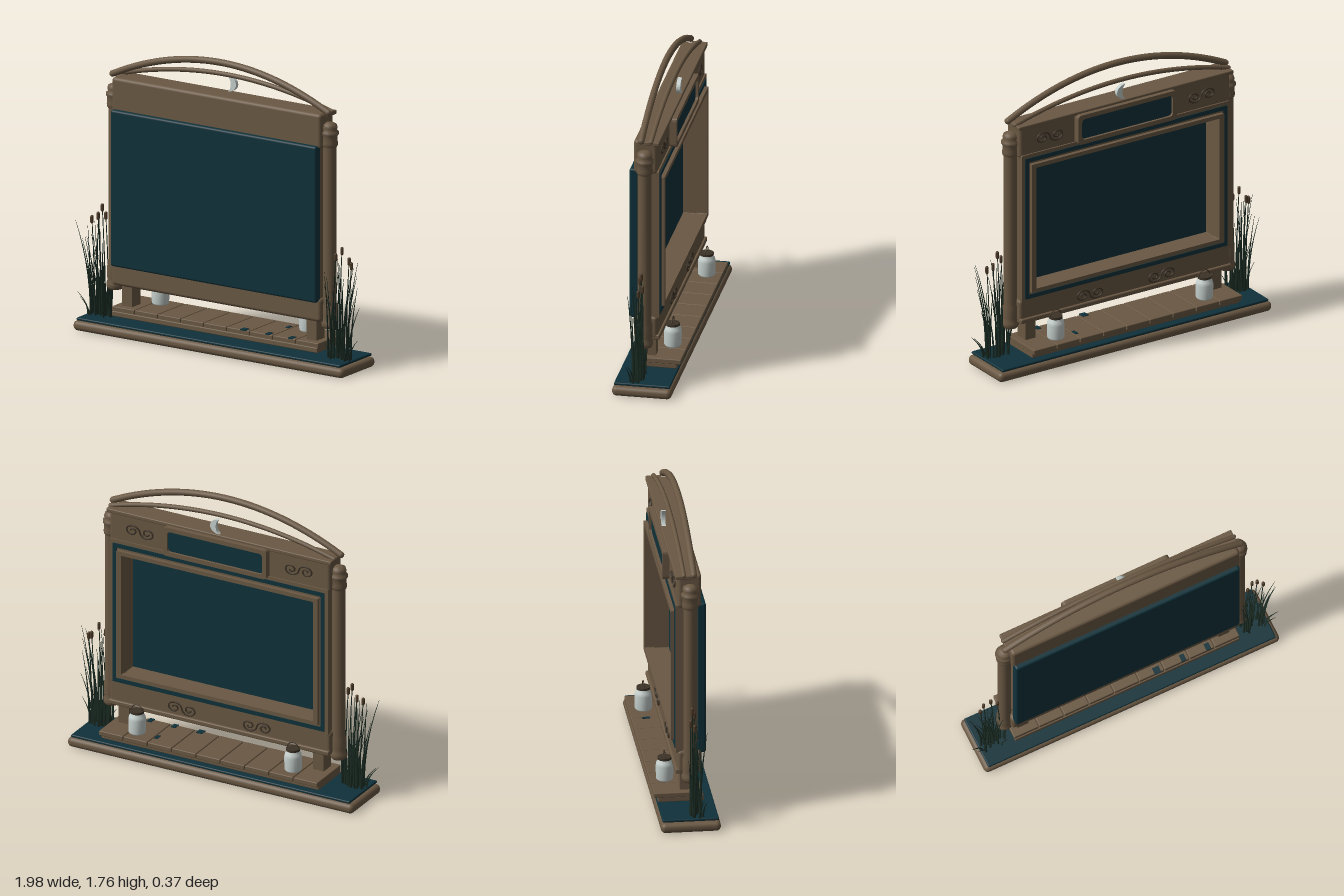
import * as THREE from 'three';
import { RoundedBoxGeometry } from 'three/addons/geometries/RoundedBoxGeometry.js';

const material = (name, color, side = THREE.FrontSide) => {
  const m = new THREE.MeshStandardMaterial({ color, side });
  m.name = name;
  return m;
};

export function createModel() {
  const model = new THREE.Group();
  const wood = material('weathered wood', 0x6a5843);
  const teal = material('deep teal', 0x0f313a);
  const bronze = material('dark bronze', 0x3d3327);
  const reed = material('reed green', 0x1b2c24, THREE.DoubleSide);
  const cattailBrown = material('cattail brown', 0x4d3b28);
  const pale = material('pale glass', 0xc6d0cd);

  const add = (name, geometry, mat, parent = model) => {
    const mesh = new THREE.Mesh(geometry, mat);
    mesh.name = name;
    parent.add(mesh);
    return mesh;
  };
  // Box given by its limits, rounded when r > 0
  const box = (name, mat, [x0, x1], [y0, y1], [z0, z1], r = 0) => {
    const s = [x1 - x0, y1 - y0, z1 - z0];
    const g = r ? new RoundedBoxGeometry(...s, 4, r) : new THREE.BoxGeometry(...s);
    g.translate((x0 + x1) / 2, (y0 + y1) / 2, (z0 + z1) / 2);
    return add(name, g, mat);
  };
  const rect = (path, w, y0, y1, r, cx) => {
    path.moveTo(cx - w + r, y0);
    path.lineTo(cx + w - r, y0);
    path.quadraticCurveTo(cx + w, y0, cx + w, y0 + r);
    path.lineTo(cx + w, y1 - r);
    path.quadraticCurveTo(cx + w, y1, cx + w - r, y1);
    path.lineTo(cx - w + r, y1);
    path.quadraticCurveTo(cx - w, y1, cx - w, y1 - r);
    path.lineTo(cx - w, y0 + r);
    path.quadraticCurveTo(cx - w, y0, cx - w + r, y0);
    return path;
  };
  // Rectangular ring: half width and y range, outside and inside
  const ring = (name, mat, [w, y0, y1], [iw, iy0, iy1], [z0, z1], r = 0.004, cx = 0) => {
    const shape = rect(new THREE.Shape(), w, y0, y1, r, cx);
    shape.holes.push(rect(new THREE.Path(), iw, iy0, iy1, r, cx));
    const g = new THREE.ExtrudeGeometry(shape, { depth: z1 - z0, bevelEnabled: false, curveSegments: 5 });
    g.translate(0, 0, z0);
    return add(name, g, mat);
  };

  // Base and water
  box('base', wood, [-0.953, 0.953], [0, 0.06], [-0.17, 0.182], 0.027);
  box('water', teal, [-0.93, 0.93], [0.063, 0.08], [-0.16, 0.172], 0.007);

  // Deck
  box('deckBeam', wood, [-0.725, 0.725], [0.106, 0.138], [-0.163, 0.107], 0.006);
  for (let i = 0; i < 9; i++) {
    const x = -0.73 + i * 0.1622;
    box('plank', wood, [x + 0.002, x + 0.16], [0.134, 0.164], [-0.187, 0.1], 0.005);
  }
  for (const [x, z, w] of [[0.2, 0.085, 0.04], [0.37, 0.08, 0.03], [0.53, 0.08, 0.03], [0.385, -0.1, 0.02]]) {
    box('moss', teal, [x - w / 2, x + w / 2], [0.162, 0.168], [z - 0.022, z + 0.022]);
  }

  // Board body with an opening seen from the back
  box('header', wood, [-0.737, 0.737], [1.335, 1.545], [-0.048, 0.092], 0.02);
  box('sill', wood, [-0.737, 0.737], [0.29, 0.43], [-0.048, 0.092], 0.02);
  ring('boardCore', wood, [0.722, 0.36, 1.4], [0.64, 0.495, 1.275], [-0.03, 0.07]);
  box('frontPanel', teal, [-0.726, 0.724], [0.41, 1.355], [0.064, 0.12], 0.014);

  // Stepped frame on the back
  ring('outerFrame', wood, [0.728, 0.415, 1.355], [0.64, 0.495, 1.275], [-0.057, -0.02], 0.01);
  ring('frameInlay', teal, [0.705, 0.438, 1.332], [0.68, 0.463, 1.307], [-0.062, -0.05]);
  ring('innerFrame', wood, [0.672, 0.475, 1.295], [0.64, 0.5, 1.27], [-0.08, -0.05]);
  box('backLedge', wood, [-0.735, 0.735], [0.285, 0.315], [-0.062, 0.07], 0.008);
  box('cornice', wood, [-0.75, 0.75], [1.52, 1.545], [-0.062, 0.03], 0.006);

  // Header sign
  ring('signFrame', wood, [0.345, 1.345, 1.53], [0.318, 1.372, 1.503], [-0.09, -0.045], 0.025, 0.01);
  box('signPanel', teal, [-0.313, 0.333], [1.365, 1.51], [-0.074, -0.045]);

  // Scroll ornaments on the back
  const scrollPoints = [];
  for (let i = -24; i <= 24; i++) {
    const t = Math.abs(i) / 24, side = i < 0 ? -1 : 1;
    const a = t * Math.PI * 3, r = 0.05 * (1 - 0.8 * t);
    scrollPoints.push(new THREE.Vector3(side * (0.05 - r * Math.cos(a)), side * r * Math.sin(a) * 0.75, 0));
  }
  const scrollGeometry = new THREE.TubeGeometry(new THREE.CatmullRomCurve3(scrollPoints), 90, 0.005, 6);
  for (const s of [-1, 1]) {
    for (const [x, y] of [[0.53, 1.435], [0.25, 0.36]]) {
      const scroll = add('scroll', scrollGeometry, bronze);
      scroll.position.set(s * x, y, -0.052);
      scroll.scale.x = s;
    }
  }

  // Columns and short legs
  const columnProfile = [[0, 0.25], [0.042, 0.25], [0.05, 0.265], [0.05, 0.285], [0.043, 0.3], [0.046, 0.315],
    [0.046, 0.39], [0.04, 0.4], [0.039, 1.34], [0.046, 1.35], [0.049, 1.365], [0.046, 1.38], [0.046, 1.41],
    [0.053, 1.42], [0.053, 1.435], [0.04, 1.445], [0.046, 1.46], [0.04, 1.48], [0.02, 1.49], [0, 1.492]]
    .map(([x, y]) => new THREE.Vector2(x, y));
  for (const s of [-1, 1]) {
    const column = add('column', new THREE.LatheGeometry(columnProfile, 24), wood);
    column.position.set(s * 0.757, 0, 0.022);
    box('leg', wood, [s * 0.65 - 0.035, s * 0.65 + 0.035], [0.15, 0.31], [-0.03, 0.055]);
  }

  // Arched roof rails
  for (const [name, w, y0, y1, z, r] of [['upperArch', 0.76, 1.553, 1.738, 0.042, 0.02],
    ['lowerArch', 0.745, 1.545, 1.653, -0.014, 0.014]]) {
    const points = [];
    for (let i = -8; i <= 8; i++) {
      const t = i / 8;
      points.push(new THREE.Vector3(t * w, y0 + (y1 - y0) * (1 - t * t), z));
    }
    add(name, new THREE.TubeGeometry(new THREE.CatmullRomCurve3(points), 48, r, 10), wood);
    for (const s of [-1, 1]) {
      const end = add('archEnd', new THREE.SphereGeometry(r, 10, 8), wood);
      end.position.set(s * w, y0, z);
    }
  }

  // Crescent ornament
  const crescent = new THREE.Shape();
  crescent.moveTo(0, 1.64);
  crescent.bezierCurveTo(0.08, 1.635, 0.08, 1.55, 0, 1.545);
  crescent.bezierCurveTo(0.03, 1.565, 0.03, 1.62, 0, 1.64);
  const moon = add('crescent', new THREE.ExtrudeGeometry(crescent, { depth: 0.024, bevelEnabled: false }), pale);
  moon.position.z = -0.054;

  // Glass jars on the deck
  const jarProfile = [[0, 0.165], [0.044, 0.165], [0.051, 0.175], [0.052, 0.255], [0.048, 0.275], [0.038, 0.287], [0.038, 0.298]]
    .map(([x, y]) => new THREE.Vector2(x, y));
  for (const s of [-1, 1]) {
    const jar = new THREE.Group();
    jar.name = 'jar';
    jar.position.set(s * 0.52, 0, -0.1);
    add('jarGlass', new THREE.LatheGeometry(jarProfile, 24), pale, jar);
    add('jarLid', new THREE.CylinderGeometry(0.041, 0.041, 0.014, 24), bronze, jar).position.y = 0.301;
    add('jarHandle', new THREE.TorusGeometry(0.038, 0.003, 6, 20, Math.PI), bronze, jar).position.y = 0.305;
    model.add(jar);
  }

  // Reeds and cattails beside the board
  let seed = 7;
  const random = () => (seed = (seed * 16807) % 2147483647) / 2147483647;
  const blade = (name, height, radius, leanX, leanZ, tip) => {
    const g = new THREE.CylinderGeometry(tip, radius, height, 4, 7, true);
    g.translate(0, height / 2, 0);
    const p = g.attributes.position;
    for (let i = 0; i < p.count; i++) {
      const t = p.getY(i) / height;
      p.setX(i, p.getX(i) + leanX * t * t);
      p.setZ(i, p.getZ(i) + leanZ * t * t);
    }
    g.computeVertexNormals();
    return add(name, g, reed);
  };
  for (const s of [-1, 1]) {
    for (let i = 0; i < 26; i++) {
      const x = 0.77 + random() * 0.14, h = 0.25 + random() * 0.36;
      const lean = (x - 0.82) * 0.6 + (random() - 0.45) * 0.09;
      const leaf = blade('reedLeaf', h, 0.008, s * lean, (random() - 0.45) * 0.07, 0.001);
      leaf.position.set(s * x, 0.075, 0.01 + random() * 0.06);
    }
    // Short outer leaves that curl away
    for (const [x, h, lean, z] of [[0.92, 0.14, 0.07, 0.06], [0.9, 0.12, 0.06, 0.08], [0.91, 0.45, 0.06, 0.03], [0.8, 0.1, -0.03, 0.08]]) {
      blade('outerLeaf', h, 0.008, s * lean, 0.02, 0.001).position.set(s * x, 0.075, z);
    }
    for (const [x, h, z] of [[0.915, 0.57, 0.03], [0.885, 0.59, 0.01], [0.845, 0.65, 0.025], [0.81, 0.61, 0.04]]) {
      const lean = s * 0.02;
      blade('cattailStem', h, 0.004, lean, 0, 0.003).position.set(s * x - lean, 0.075, z);
      const head = add('cattailHead', new THREE.CapsuleGeometry(0.01, 0.03, 4, 8), cattailBrown);
      head.position.set(s * x, 0.075 + h, z);
    }
  }
  return model;
}
